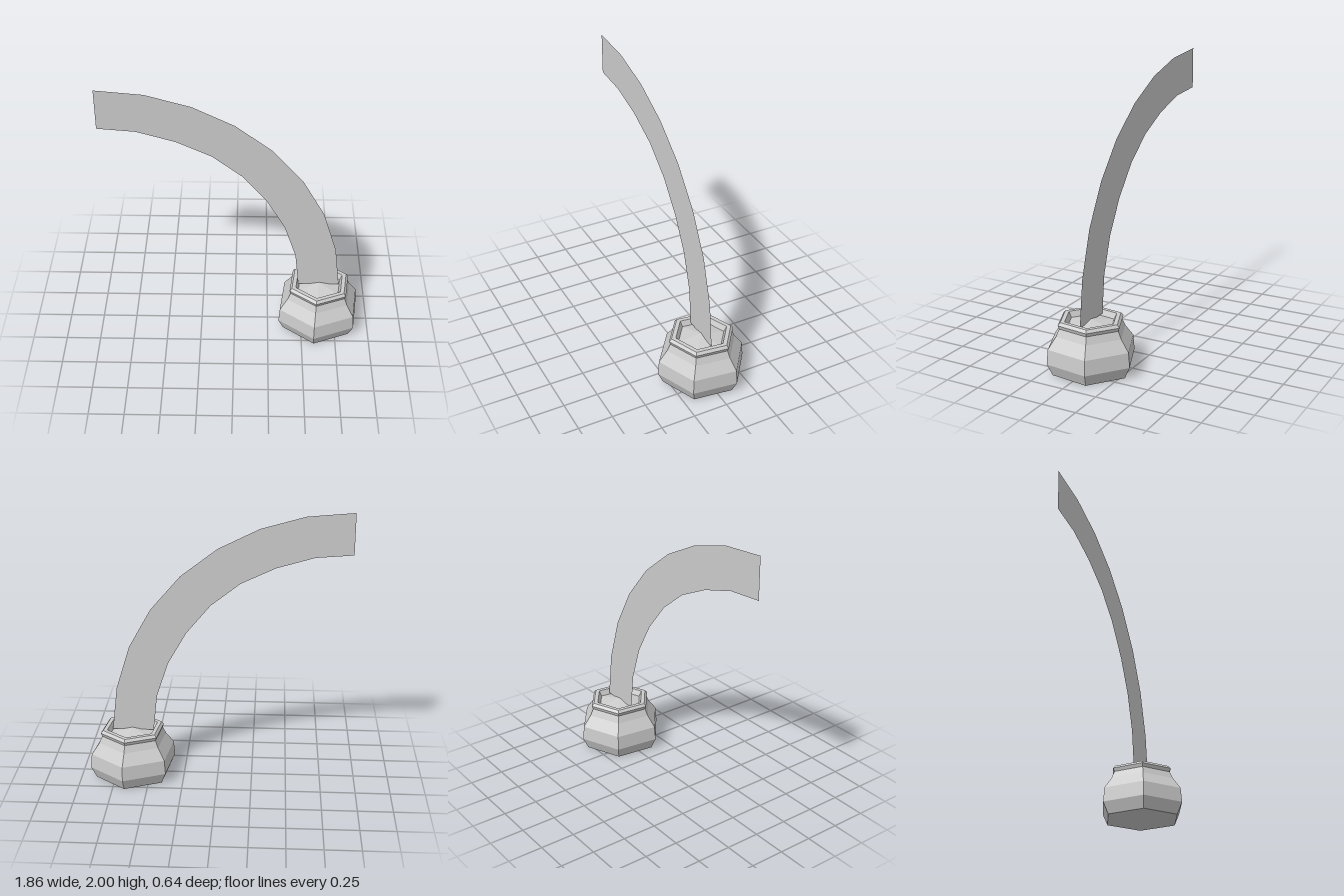
import * as THREE from 'three';

const vec = ([x, y]) => new THREE.Vector2(x, y);

export function createModel() {
  const group = new THREE.Group();

  // Six-sided pot: outer wall, rim lip, inner wall
  const potProfile = [
    [0, 0], [0.283, 0], [0.323, 0.085], [0.314, 0.19], [0.254, 0.273],
    [0.23, 0.325], [0.24, 0.35], [0.222, 0.37], [0.19, 0.37], [0.17, 0.33],
  ];
  // Shallow mound filling the pot
  const soilProfile = [[0.17, 0.33], [0, 0.36]];

  const addLathe = (name, profile) => {
    const mesh = new THREE.Mesh(
      new THREE.LatheGeometry(profile.map(vec), 6, -0.13),
      new THREE.MeshStandardMaterial({ color: 0xcccccc, flatShading: true }),
    );
    mesh.name = name;
    mesh.position.x = 0.628;
    group.add(mesh);
  };
  addLathe('pot', potProfile);
  addLathe('soil', soilProfile);

  // Flat arching stem, a thin strip in the z = 0 plane
  const outer = [
    [-0.93, 2], [-0.6, 1.97], [-0.287, 1.88], [0.003, 1.734], [0.262, 1.533],
    [0.475, 1.284], [0.634, 0.998], [0.734, 0.675], [0.773, 0.345],
  ];
  const inner = [
    [-0.93, 1.703], [-0.666, 1.681], [-0.4, 1.602], [-0.156, 1.485], [0.051, 1.321],
    [0.226, 1.109], [0.358, 0.876], [0.443, 0.617], [0.472, 0.345],
  ];
  const outline = new THREE.Shape([...outer, ...inner.reverse()].map(vec));
  const stem = new THREE.Mesh(
    new THREE.ShapeGeometry(outline),
    new THREE.MeshStandardMaterial({ color: 0xcccccc, side: THREE.DoubleSide }),
  );
  stem.name = 'stem';
  group.add(stem);

  return group;
}
